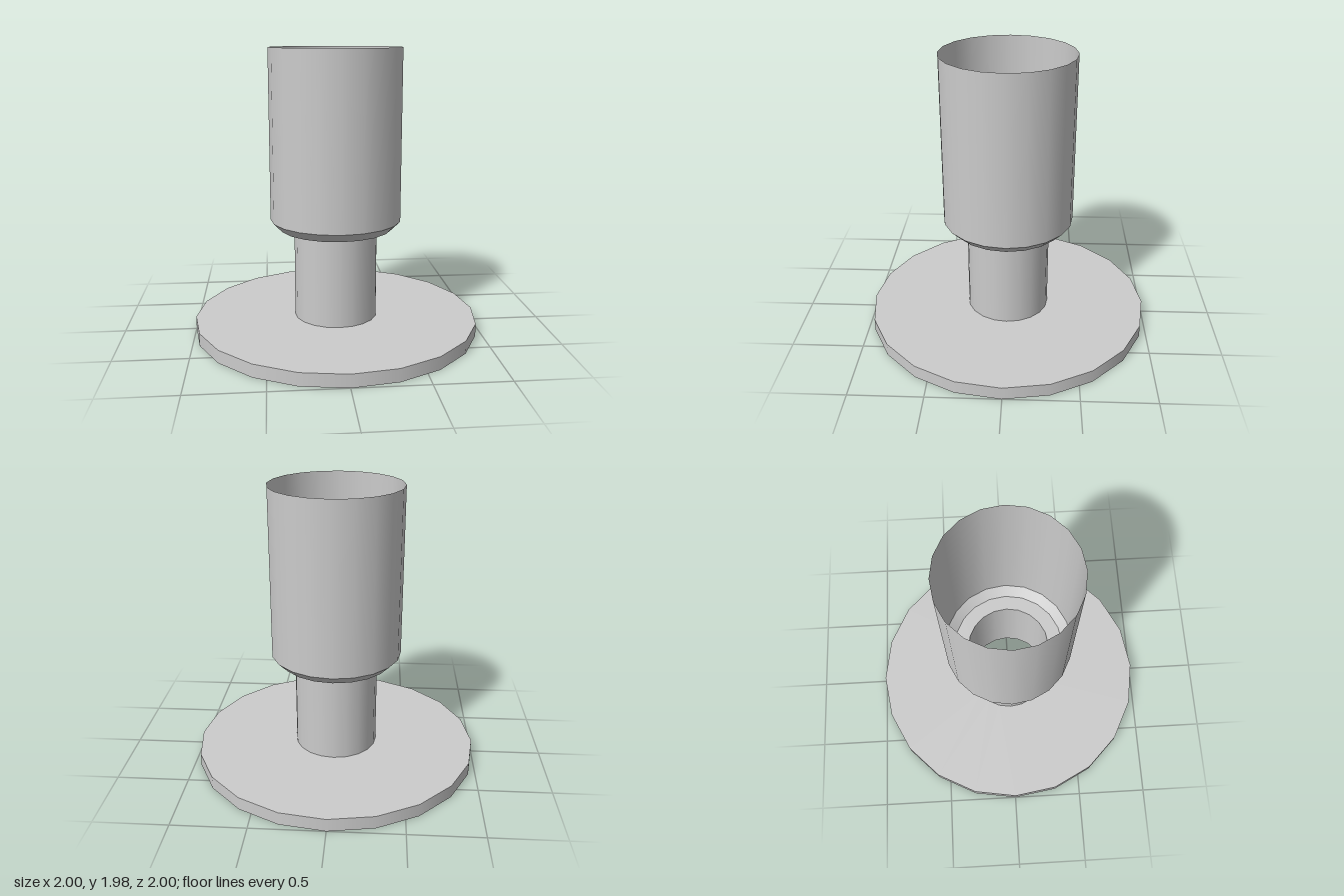
import * as THREE from 'three';
import { mergeGeometries } from 'three/addons/utils/BufferGeometryUtils.js';

const SIDES = 20;

// Thin-walled turned part: each straight span is its own band, so creases stay sharp
function turned(name, profile, material) {
  const bands = [];
  for (let i = 0; i < profile.length - 1; i++) {
    const span = [profile[i], profile[i + 1]].map(([r, y]) => new THREE.Vector2(r, y));
    bands.push(new THREE.LatheGeometry(span, SIDES));
  }
  const mesh = new THREE.Mesh(mergeGeometries(bands), material);
  mesh.name = name;
  return mesh;
}

export function createModel() {
  const material = new THREE.MeshStandardMaterial({ color: 0xcccccc, side: THREE.DoubleSide });
  const group = new THREE.Group();
  group.name = 'flangedSocket';

  group.add(
    // Hollow flange: folded lip underneath, rim, then the top plate with its bore
    turned('baseFlange', [[0.86, 0], [1, 0], [1, 0.09], [0.292, 0.09]], material),
    // Open tube between flange and cup
    turned('neck', [[0.292, 0.09], [0.292, 0.73]], material),
    // Open cup: ledge, chamfer and straight wall
    turned('cup', [[0.292, 0.73], [0.395, 0.73], [0.458, 0.793], [0.458, 1.98]], material),
  );
  return group;
}
